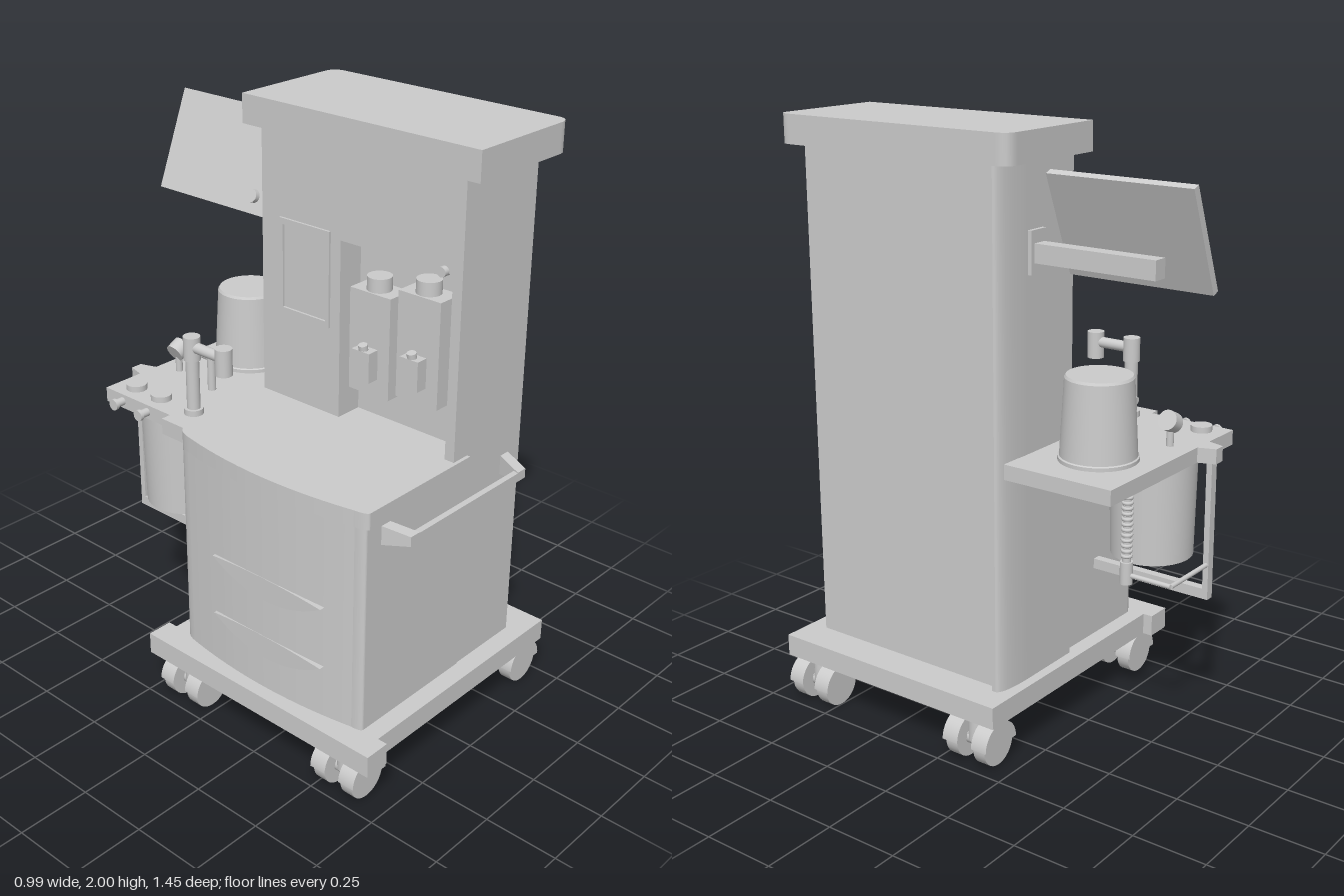
import * as THREE from 'three';

const mat = new THREE.MeshStandardMaterial({ color: 0xcccccc, side: THREE.DoubleSide });

export function createModel() {
  const root = new THREE.Group();
  const add = (name, geo, x = 0, y = 0, z = 0, parent = root) => {
    const m = new THREE.Mesh(geo, mat);
    m.name = name;
    m.position.set(x, y, z);
    parent.add(m);
    return m;
  };
  // box from its limits on each axis
  const box = (name, x0, x1, y0, y1, z0, z1) =>
    add(name, new THREE.BoxGeometry(x1 - x0, y1 - y0, z1 - z0), (x0 + x1) / 2, (y0 + y1) / 2, (z0 + z1) / 2);
  // upright cylinder from its bottom and top heights
  const post = (name, x, z, y0, y1, rBottom, rTop = rBottom) =>
    add(name, new THREE.CylinderGeometry(rTop, rBottom, y1 - y0, 40), x, (y0 + y1) / 2, z);
  // cylinder between two points
  const rod = (name, a, b, r) => {
    const p = new THREE.Vector3(...a), d = new THREE.Vector3(...b).sub(p);
    const m = add(name, new THREE.CylinderGeometry(r, r, d.length(), 24));
    m.position.copy(p).addScaledVector(d, 0.5);
    m.quaternion.setFromUnitVectors(new THREE.Vector3(0, 1, 0), d.normalize());
    return m;
  };
  // plan outline (x, z) raised from y0 to y1; a 4-number point is a curve (control, end)
  const slab = (name, pts, y0, y1) => {
    const s = new THREE.Shape();
    pts.forEach((p, i) => {
      if (!i) s.moveTo(p[0], -p[1]);
      else if (p.length === 4) s.quadraticCurveTo(p[0], -p[1], p[2], -p[3]);
      else s.lineTo(p[0], -p[1]);
    });
    const g = new THREE.ExtrudeGeometry(s, { depth: y1 - y0, bevelEnabled: false, curveSegments: 20 });
    return add(name, g.rotateX(-Math.PI / 2), 0, y0, 0);
  };

  // wheeled base
  box('base', -0.405, 0.47, 0.155, 0.23, -0.205, 0.69);
  box('baseSideBumper', -0.495, -0.405, 0.155, 0.23, -0.24, 0.725);

  // twin-wheel casters
  for (const x of [-0.415, 0.413]) for (const z of [0.58, -0.105]) {
    const c = new THREE.Group();
    c.name = 'caster';
    c.position.set(x, 0, z);
    root.add(c);
    for (const s of [-1, 1]) {
      add('wheel', new THREE.CylinderGeometry(0.073, 0.073, 0.045, 32).rotateX(Math.PI / 2), 0, 0.073, s * 0.055, c);
      add('wheelHood', new THREE.CylinderGeometry(0.079, 0.079, 0.06, 24, 1, false, -Math.PI / 2, Math.PI)
        .rotateX(-Math.PI / 2), 0, 0.073, s * 0.058, c);
    }
    add('axle', new THREE.CylinderGeometry(0.03, 0.03, 0.1, 20).rotateX(Math.PI / 2), 0, 0.075, 0, c);
    add('swivelStem', new THREE.CylinderGeometry(0.035, 0.035, 0.09, 24), 0, 0.115, 0, c);
  }

  // tower: core, with a recessed bay in its left-hand working side
  box('towerCore', 0.1, 0.35, 0.23, 1.905, -0.13, 0.625);
  box('towerLowerSide', 0.003, 0.1, 0.23, 1.0, -0.13, 0.625);
  box('towerScreenSide', 0.003, 0.1, 1.0, 1.905, -0.13, 0.16);
  box('towerFrontSide', 0.003, 0.1, 1.0, 1.905, 0.59, 0.625);
  box('towerUpperSide', 0.003, 0.1, 1.6, 1.905, 0.16, 0.59);
  slab('towerBackPanel', [[0.003, -0.17], [0.003, -0.13], [0.377, -0.13], [0.377, -0.145], [0.37, -0.17, 0.25, -0.172]], 0.23, 1.905);
  slab('towerCap', [[-0.04, 0.7], [0.34, 0.7], [0.387, 0.7, 0.387, 0.655], [0.387, -0.165], [0.387, -0.21, 0.34, -0.21], [-0.04, -0.21]], 1.905, 2);

  // cabinet with bowed side, and worktop
  slab('cabinet', [[0.07, 0.628], [-0.4, 0.628], [-0.415, 0.628, -0.415, 0.59], [-0.48, 0.25, -0.42, -0.1], [-0.41, -0.15, -0.38, -0.15], [0.07, -0.15]], 0.23, 0.945);
  slab('worktop', [[0.07, 0.637], [-0.4, 0.637], [-0.415, 0.637, -0.42, 0.59], [-0.49, 0.25, -0.425, -0.08],
    [-0.415, -0.14, -0.39, -0.15], [-0.39, -0.25], [-0.3, -0.25], [-0.3, -0.17], [0.07, -0.17]], 0.945, 1.0);
  for (const y of [0.6, 0.385]) {
    const lens = new THREE.Shape();
    lens.moveTo(-0.23, 0.03);
    lens.quadraticCurveTo(0, 0.05, 0.23, 0.03);
    lens.quadraticCurveTo(0, -0.11, -0.23, 0.03);
    const g = new THREE.ExtrudeGeometry(lens, { depth: 0.03, bevelEnabled: false, curveSegments: 20 });
    add('drawerGrip', g.rotateY(-Math.PI / 2), -0.42, y, 0.26);
  }

  // front handle
  box('handleBar', -0.31, 0.26, 0.88, 0.91, 0.695, 0.715);
  for (const s of [-1, 1]) {
    const x = s < 0 ? -0.34 : 0.29;
    const g = new THREE.BoxGeometry(0.04, 0.065, 0.09);
    const p = g.attributes.position;
    for (let i = 0; i < p.count; i++) if (p.getZ(i) > 0) {
      p.setX(i, p.getX(i) - s * 0.03);
      p.setY(i, p.getY(i) * 0.5);
    }
    g.computeVertexNormals();
    add('handleBracket', g, x - s * 0.02, 0.896, 0.67);
  }

  // rear shelf with post tab
  slab('rearShelf', [[-0.355, -0.17], [-0.355, -0.56], [-0.205, -0.56], [-0.19, -0.617], [-0.15, -0.617],
    [-0.13, -0.56], [0.36, -0.56], [0.36, -0.17]], 0.95, 1.0);
  box('framePost', -0.195, -0.165, 0.475, 0.95, -0.595, -0.575);
  box('frameBar', -0.195, -0.165, 0.475, 0.51, -0.575, -0.15);

  // canisters above and below the shelf
  const cup = [[0, 0], [0.127, 0], [0.127, 0.012], [0.122, 0.015], [0.108, 0.262], [0.103, 0.27], [0, 0.27]];
  add('upperCanister', new THREE.LatheGeometry(cup.flatMap(([r, y]) => [new THREE.Vector2(r, y), new THREE.Vector2(r, y)]), 48), 0.143, 1.0, -0.37);
  post('lowerCanister', -0.18, -0.37, 0.59, 0.95, 0.138, 0.145);

  // corrugated hose and its outlet pipe
  post('hose', 0.05, -0.42, 0.57, 0.95, 0.014);
  for (let i = 0; i < 14; i++)
    add('hoseRib', new THREE.TorusGeometry(0.014, 0.006, 8, 20).rotateX(Math.PI / 2), 0.05, 0.66 + i * 0.018, -0.42);
  post('hoseCollar', 0.05, -0.42, 0.565, 0.64, 0.021);
  post('hoseCollar', 0.05, -0.42, 0.91, 0.95, 0.021);
  rod('outletPipe', [0.05, 0.595, -0.42], [0.05, 0.595, -0.585], 0.008);
  rod('outletPipe', [0.05, 0.595, -0.585], [-0.18, 0.595, -0.585], 0.008);

  // shelf valves, ports and gauges
  for (const z of [-0.48, -0.36]) {
    post('valveCap', -0.29, z, 1.0, 1.02, 0.035);
    rod('sidePort', [-0.35, 0.975, z], [-0.385, 0.975, z], 0.014);
    rod('sidePortRim', [-0.385, 0.975, z], [-0.397, 0.975, z], 0.019);
  }
  post('gaugeStem', -0.095, -0.48, 1.0, 1.07, 0.012);
  rod('gaugeDial', [-0.115, 1.07, -0.48], [-0.075, 1.09, -0.48], 0.033);
  post('smallPost', -0.125, -0.29, 1.0, 1.12, 0.014);
  rod('smallPostArm', [-0.125, 1.115, -0.28], [-0.125, 1.115, -0.335], 0.012);

  // tall post with swing arm
  post('tallPostFoot', -0.29, -0.205, 1.0, 1.02, 0.032);
  post('tallPost', -0.29, -0.205, 1.0, 1.2, 0.022);
  post('tallPostHead', -0.29, -0.205, 1.19, 1.27, 0.028);
  rod('swingArm', [-0.29, 1.235, -0.205], [-0.29, 1.235, -0.062], 0.018);
  post('swingArmEnd', -0.29, -0.062, 1.18, 1.27, 0.028);

  // framed display on the tower side
  for (const [y0, y1] of [[1.3, 1.32], [1.6, 1.62]]) box('displayFrame', -0.005, 0.005, y0, y1, -0.09, 0.12);
  for (const [z0, z1] of [[-0.09, -0.075], [0.105, 0.12]]) box('displayFrame', -0.005, 0.005, 1.3, 1.62, z0, z1);

  // dispenser units in the bay
  for (const [z, y0, y1] of [[0.28, 1.12, 1.46], [0.47, 1.15, 1.5]]) {
    box('dispenserBody', 0.005, 0.1, y0, y1, z - 0.08, z + 0.08);
    post('dispenserDial', 0.05, z, y1, y1 + 0.045, 0.04);
    box('dispenserFiller', -0.037, 0.01, y0 + 0.06, y0 + 0.16, z - 0.035, z + 0.035);
    rod('fillerKnob', [-0.02, y0 + 0.15, z], [-0.025, y0 + 0.178, z], 0.015);
  }
  rod('sideKnob', [0.01, 1.605, 0.56], [-0.015, 1.605, 0.56], 0.016);

  // tilted monitor on its arm
  const tilt = Math.atan2(0.13, 0.325);
  add('monitor', new THREE.BoxGeometry(0.025, 0.345, 0.5), 0.155, 1.717, -0.48).rotation.z = -tilt;
  rod('monitorKnob', [0.115, 1.61, -0.3], [0.085, 1.622, -0.3], 0.022);
  box('monitorArm', 0.175, 0.225, 1.6, 1.66, -0.61, -0.185);
  box('monitorPivot', 0.12, 0.18, 1.61, 1.65, -0.52, -0.44);
  box('monitorBracket', 0.165, 0.24, 1.565, 1.7, -0.185, -0.165);

  return root;
}
